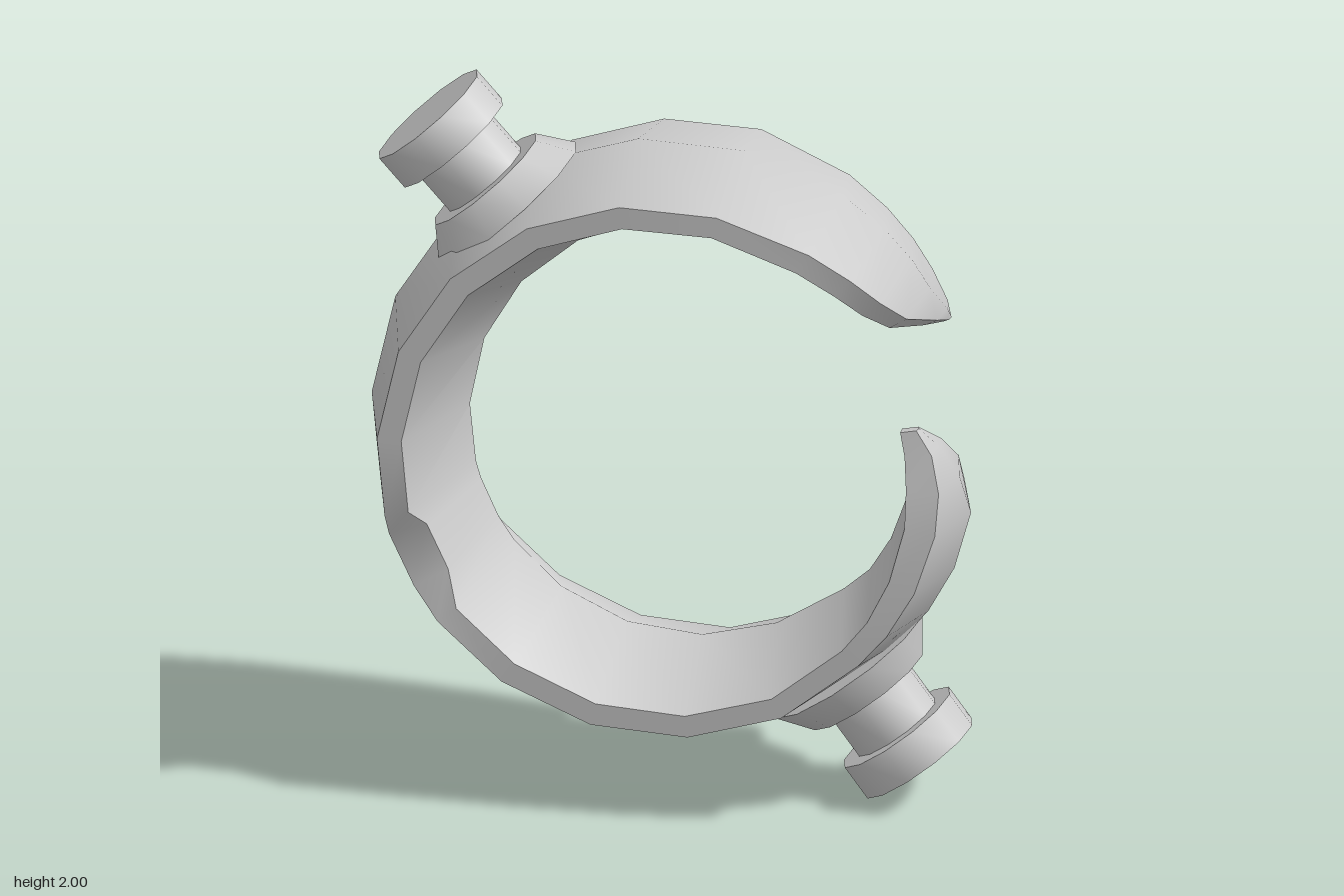
import * as THREE from 'three';
import { toCreasedNormals } from 'three/addons/utils/BufferGeometryUtils.js';

const CENTER_Y = 1.017;
const material = new THREE.MeshStandardMaterial({ color: 0xcccccc });

// Full-width section of the band, sitting slightly off-centre
function bodyStation(deg) {
  const a = THREE.MathUtils.degToRad(deg);
  const c = Math.cos(a);
  const midIn = 0.603 + 0.036 * c + 0.006 * Math.sin(a);
  return [deg, -0.33, 0.325, 0.71 + 0.015 * c, 0.772 + 0.01 * c, midIn, 0.844 + 0.006 * c];
}

// Body section whose front rim is cut back and widened
const notchStation = (deg) => [...bodyStation(deg).with(2, 0.275), 0.67, 0.78];

// Stations: angle, back z, front z, then radii: rim inner, rim outer, mid inner, mid outer
// (and, in the notch, front rim inner and outer)
function bandStations() {
  return [
    // slanted upper tip
    [22, -0.235, -0.205, 0.755, 0.77, 0.75, 0.775],
    [25, -0.25, -0.1, 0.735, 0.775, 0.73, 0.79],
    [32, -0.265, 0.11, 0.72, 0.775, 0.7, 0.81],
    [39, -0.28, 0.2, 0.712, 0.775, 0.68, 0.83],
    [47, -0.292, 0.25, 0.71, 0.775, 0.66, 0.84],
    [57, -0.305, 0.29, 0.71, 0.775, 0.645, 0.845],
    ...[77, 97, 117, 137, 157, 177, 194].map(bodyStation),
    // notch in the front rim
    ...[199, 211].map(notchStation),
    ...[219, 237, 257, 277, 297].map(bodyStation),
    // slanted lower tip
    [317, -0.33, 0.325, 0.71, 0.77, 0.635, 0.845],
    [326, -0.285, 0.325, 0.71, 0.775, 0.65, 0.845],
    [337, -0.22, 0.32, 0.705, 0.78, 0.655, 0.845],
    [350, -0.12, 0.31, 0.7, 0.785, 0.665, 0.845],
    [358.5, 0, 0.29, 0.69, 0.78, 0.67, 0.81],
    [366, 0.13, 0.265, 0.685, 0.76, 0.675, 0.77],
    [371.5, 0.22, 0.25, 0.68, 0.725, 0.68, 0.73],
  ];
}

// Six-sided lens section swept round the ring
function bandGeometry() {
  const positions = [];
  const index = [];
  const rows = bandStations();
  const n = 6;
  for (const [deg, zb, zf, rimIn, rimOut, midIn, midOut, frontIn = rimIn, frontOut = rimOut] of rows) {
    const a = THREE.MathUtils.degToRad(deg);
    const zm = zb === -0.33 ? 0 : (zb + zf) / 2;
    const section = [
      [frontIn, zf], [frontOut, zf], [midOut, zm], [rimOut, zb], [rimIn, zb], [midIn, zm],
    ];
    for (const [r, z] of section) {
      positions.push(r * Math.cos(a), CENTER_Y + r * Math.sin(a), z);
    }
  }
  for (let i = 0; i < rows.length - 1; i++) {
    for (let j = 0; j < n; j++) {
      const p = i * n + j;
      const q = i * n + (j + 1) % n;
      index.push(p, q, q + n, p, q + n, p + n);
    }
  }
  // end caps
  const last = (rows.length - 1) * n;
  for (let j = 1; j < n - 1; j++) {
    index.push(0, j + 1, j, last, last + j, last + j + 1);
  }
  const geometry = new THREE.BufferGeometry();
  geometry.setAttribute('position', new THREE.Float32BufferAttribute(positions, 3));
  geometry.setIndex(index);
  return toCreasedNormals(geometry, 0.8);
}

// Stud turned about y, its top face at the origin; the cone foot sinks into the band
function studGeometry() {
  const profile = [
    [0, -0.33], [0.252, -0.33], [0.185, -0.238], [0.13, -0.238],
    [0.13, -0.106], [0.18, -0.106], [0.18, 0], [0, 0],
  ].map(([r, y]) => new THREE.Vector2(r, y));
  return toCreasedNormals(new THREE.LatheGeometry(profile, 12), 0.6);
}

export function createModel() {
  const model = new THREE.Group();
  model.name = 'openRing';

  const band = new THREE.Mesh(bandGeometry(), material);
  band.name = 'band';
  model.add(band);

  // two studs pointing outwards on opposite sides
  const geometry = studGeometry();
  const up = new THREE.Vector3(0, 1, 0);
  for (const [name, x, y, dx, dy] of [
    ['upperStud', -0.682, 1.882, -0.663, 0.749],
    ['lowerStud', 0.672, 0.104, 0.59, -0.807],
  ]) {
    const stud = new THREE.Mesh(geometry, material);
    stud.name = name;
    stud.position.set(x, y, 0);
    stud.quaternion.setFromUnitVectors(up, new THREE.Vector3(dx, dy, 0).normalize());
    model.add(stud);
  }
  return model;
}
